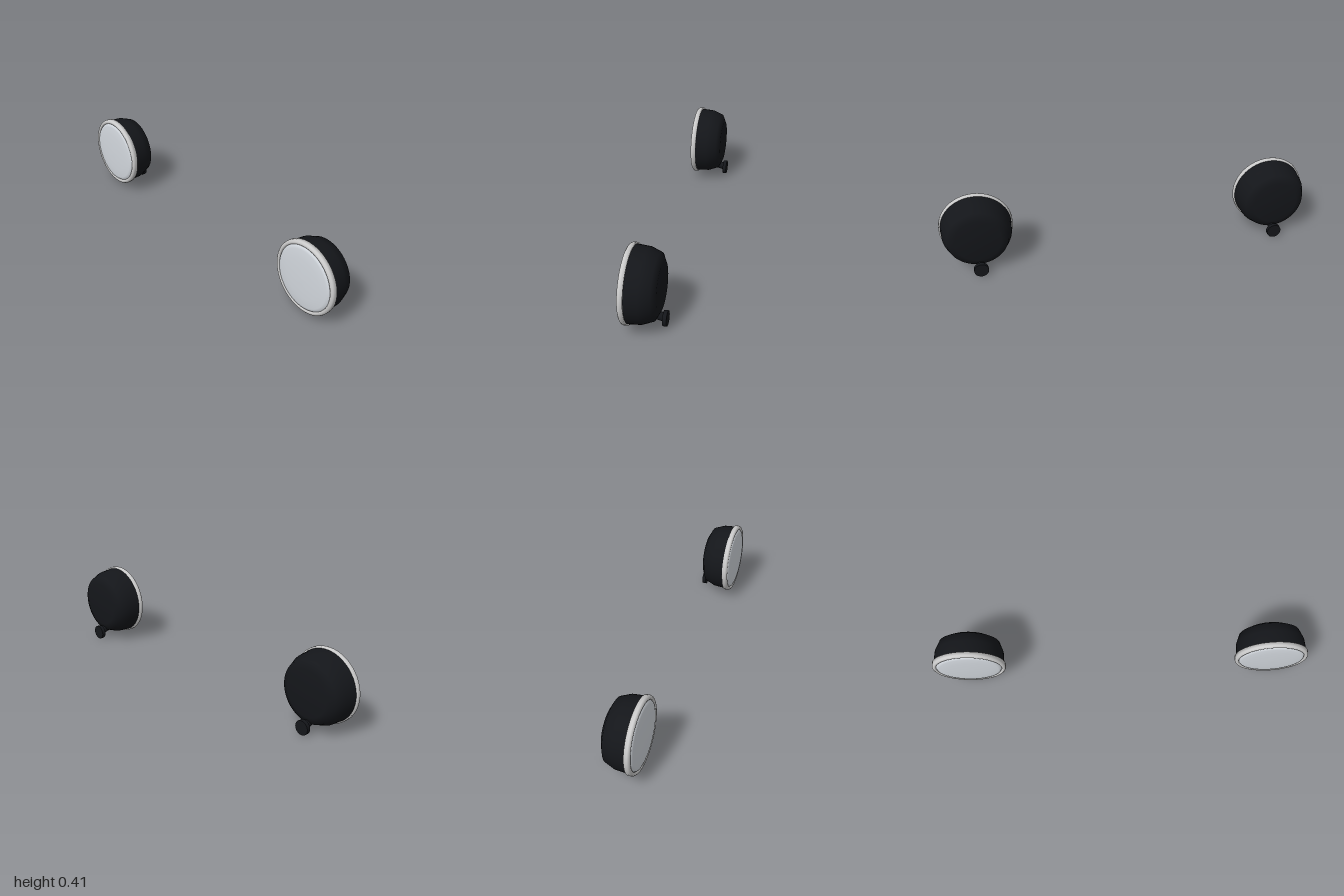
import * as THREE from 'three';

const dark = new THREE.MeshStandardMaterial({ color: 0x14161a, side: THREE.DoubleSide });
const grey = new THREE.MeshStandardMaterial({ color: 0xcccccc, side: THREE.DoubleSide });
const glass = new THREE.MeshStandardMaterial({ color: 0xd3d8de, side: THREE.DoubleSide });

// Revolve [radius, z] pairs (listed back to front) around the z axis
function turned(name, profile, material) {
  const points = profile.map(([r, z]) => new THREE.Vector2(r, z));
  const mesh = new THREE.Mesh(new THREE.LatheGeometry(points, 48).rotateX(Math.PI / 2), material);
  mesh.name = name;
  return mesh;
}

// Cylinder between two points
function rod(name, a, b, radius, material) {
  const dir = b.clone().sub(a);
  const mesh = new THREE.Mesh(new THREE.CylinderGeometry(radius, radius, dir.length(), 24), material);
  mesh.position.copy(a).add(b).multiplyScalar(0.5);
  mesh.quaternion.setFromUnitVectors(new THREE.Vector3(0, 1, 0), dir.normalize());
  mesh.name = name;
  return mesh;
}

function createLamp(name) {
  const lamp = new THREE.Group();
  lamp.name = name;
  // Bowl-shaped shell with a flat back
  lamp.add(turned('housing', [[0, -0.075], [0.121, -0.075], [0.161, -0.055], [0.182, -0.002], [0.187, 0.066]], dark));
  // Trim ring with a rounded front edge and an inner lip
  lamp.add(turned('trimRing', [
    [0.18, 0.063], [0.194, 0.063], [0.1945, 0.08], [0.192, 0.086], [0.186, 0.091],
    [0.179, 0.092], [0.174, 0.089], [0.172, 0.082],
  ], grey));
  // Shallow domed lens
  lamp.add(turned('lens', [[0.174, 0.083], [0.168, 0.091], [0.155, 0.095], [0.11, 0.098], [0.055, 0.0995], [0, 0.1]], glass));
  // Mounting stem and foot at the lower back
  const v = (y, z) => new THREE.Vector3(0, y, z);
  lamp.add(rod('mountStem', v(-0.146, 0), v(-0.168, -0.085), 0.021, dark));
  lamp.add(rod('mountFoot', v(-0.1725, -0.08), v(-0.1725, -0.1), 0.0385, dark));
  return lamp;
}

export function createModel() {
  const model = new THREE.Group();
  model.name = 'headlampPair';
  for (const [name, side] of [['leftLamp', 1], ['rightLamp', -1]]) {
    const lamp = createLamp(name);
    lamp.position.set(side * 0.8055, 0.211, 0);
    model.add(lamp);
  }
  return model;
}
